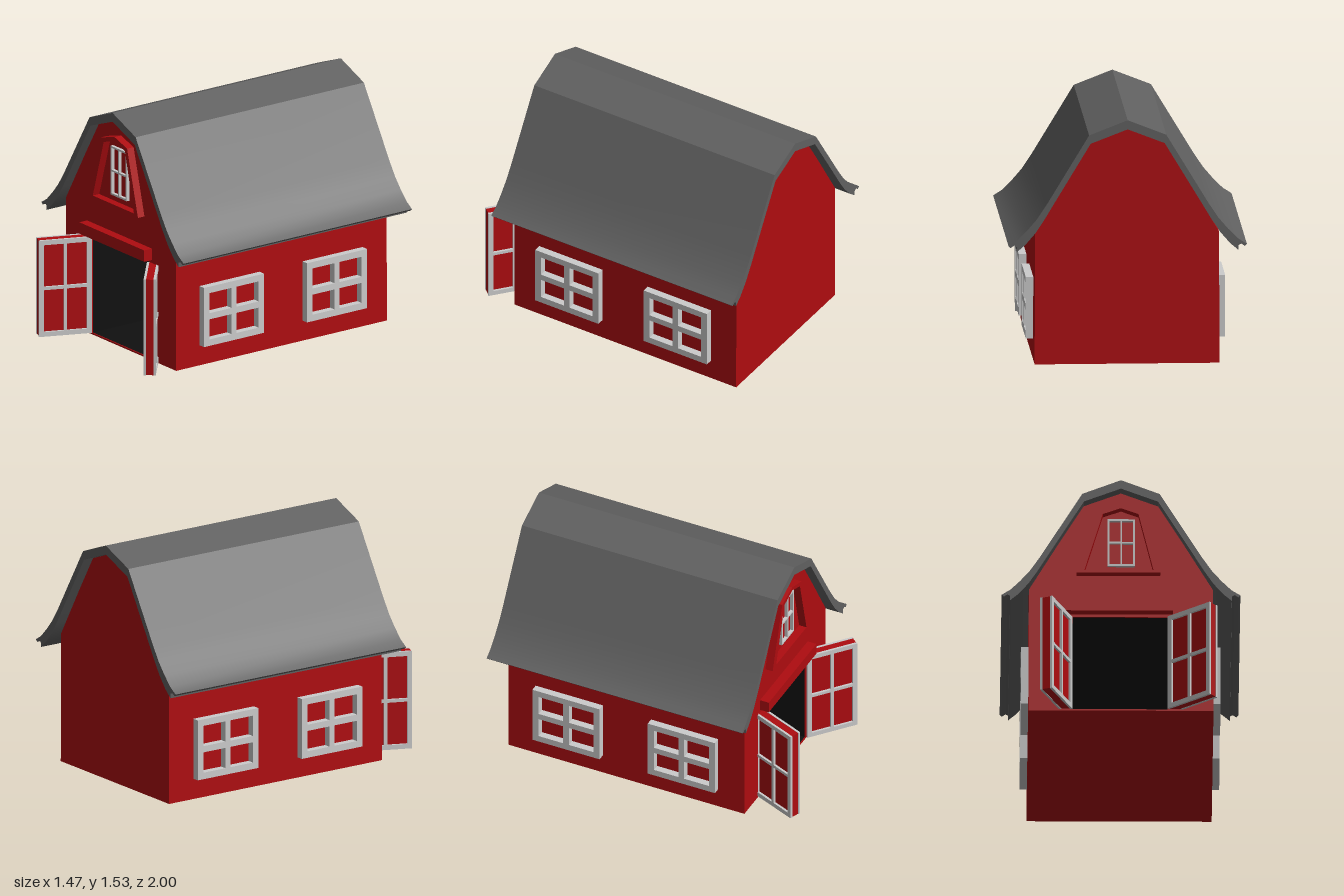
import * as THREE from 'three';
import { toCreasedNormals } from 'three/addons/utils/BufferGeometryUtils.js';

const mat = (color, side = THREE.FrontSide) =>
  new THREE.MeshStandardMaterial({ color, side });
const red = mat(0xae0c10);
const trim = mat(0xcccccc);
const roofGrey = mat(0x606060);
const black = mat(0x101010, THREE.DoubleSide);

const points = (list) => list.map(([x, y]) => new THREE.Vector2(x, y));
const rect = (x0, y0, x1, y1) => points([[x0, y0], [x1, y0], [x1, y1], [x0, y1]]);

// Extrude an outline with optional holes from z0 to z1
function slab(outline, holes, z0, z1) {
  const shape = new THREE.Shape(outline);
  for (const h of holes) shape.holes.push(new THREE.Path(h));
  const geo = new THREE.ExtrudeGeometry(shape, { depth: z1 - z0, bevelEnabled: false });
  return geo.translate(0, 0, z0);
}

function add(parent, name, geo, material) {
  const mesh = new THREE.Mesh(geo, material);
  mesh.name = name;
  parent.add(mesh);
  return mesh;
}

function box(parent, name, material, x0, x1, y0, y1, z0, z1) {
  const mesh = add(parent, name, new THREE.BoxGeometry(x1 - x0, y1 - y0, z1 - z0), material);
  mesh.position.set((x0 + x1) / 2, (y0 + y1) / 2, (z0 + z1) / 2);
  return mesh;
}

// Four-pane frame, lower left corner at the origin, lying in z0..z1
function paneFrame(w, h, border, bar, z0, z1) {
  const holes = [];
  for (const [x0, x1] of [[border, (w - bar) / 2], [(w + bar) / 2, w - border]])
    for (const [y0, y1] of [[border, (h - bar) / 2], [(h + bar) / 2, h - border]])
      holes.push(rect(x0, y0, x1, y1));
  return slab(rect(0, 0, w, h), holes, z0, z1);
}

// Door leaf with trim on both faces; local x runs from hinge to tip
function door(name, angle, x, z, zBack, zFront) {
  const g = new THREE.Group();
  g.name = name;
  const w = 0.335, h = 0.625, t = 0.015;
  box(g, 'doorPanel', red, 0.002, w - 0.002, 0.002, h - 0.002, zBack + t, zFront - t);
  add(g, 'doorTrimInner', paneFrame(w, h, 0.03, 0.02, zBack, zBack + t), trim);
  add(g, 'doorTrimOuter', paneFrame(w, h, 0.03, 0.02, zFront - t, zFront), trim);
  g.position.set(x, 0.01, z);
  g.rotation.y = angle;
  return g;
}

export function createModel() {
  const barn = new THREE.Group();
  barn.name = 'barn';

  // Walls: front section with the doorway, solid rear section
  const gable = points([[-0.57, 0], [0.57, 0], [0.567, 0.82], [0.235, 1.385],
    [0, 1.475], [-0.235, 1.385], [-0.567, 0.82]]);
  const doorway = rect(-0.298, 0.01, 0.288, 0.635);
  add(barn, 'walls', slab(gable, [doorway], -0.88, 0.685), red);
  add(barn, 'backWall', slab(gable, [], -0.93, -0.88), red);

  // Dark interior, open at the front
  const room = new THREE.BoxGeometry(0.582, 0.621, 1.555);
  const index = Array.from(room.index.array);
  index.splice(24, 6);
  room.setIndex(index);
  room.clearGroups();
  add(barn, 'interior', room, black).position.set(-0.005, 0.3225, -0.0965);

  // Gambrel roof with flared, notched eaves
  const outer = [[0, 1.535], [0.238, 1.442], [0.5, 1.01], [0.56, 0.92],
    [0.62, 0.85], [0.68, 0.79], [0.735, 0.755]];
  const eave = [[0.722, 0.742], [0.7, 0.757], [0.683, 0.748], [0.682, 0.718]];
  const inner = [[0.63, 0.762], [0.57, 0.832], [0.515, 0.915], [0.455, 1.015],
    [0.228, 1.39], [0, 1.478]];
  const half = [...outer, ...eave, ...inner];
  const other = half.slice(1, -1).reverse().map(([x, y]) => [-x, y]);
  const roofGeo = slab(points([...half, ...other]), [], -1, 0.75);
  add(barn, 'roof', toCreasedNormals(roofGeo, 0.3), roofGrey);

  // Raised loft surround and its window
  const loftOuter = points([[-0.275, 0.915], [0.242, 0.915], [0.13, 1.335],
    [0, 1.375], [-0.14, 1.335]]);
  const loftInner = points([[-0.225, 0.933], [0.2, 0.933], [0.108, 1.312],
    [0, 1.352], [-0.112, 1.312]]);
  add(barn, 'loftSurround', slab(loftOuter, [loftInner], 0.68, 0.735), red);
  add(barn, 'loftWindow', paneFrame(0.167, 0.317, 0.012, 0.011, 0.68, 0.705), trim)
    .position.set(-0.082, 0.974, 0);

  // Beam above the doorway
  box(barn, 'doorBeam', red, -0.35, 0.32, 0.653, 0.727, 0.68, 0.745);

  // Two windows on each side wall
  for (const side of [1, -1])
    for (const z of [0.275, -0.515]) {
      const win = add(barn, 'sideWindow',
        paneFrame(0.46, 0.385, 0.042, 0.04, 0.56, 0.615), trim);
      win.geometry.translate(-0.23, 0, 0);
      win.rotation.y = side * Math.PI / 2;
      win.position.set(0, 0.13, z);
    }

  // Open doors, each swung to its own angle
  barn.add(door('leftDoor', -Math.atan2(0.645, 0.765), 0.288, 0.70, -0.075, 0));
  barn.add(door('rightDoor', -Math.atan2(0.925, -0.38), -0.298, 0.687, 0, 0.08));

  return barn;
}
